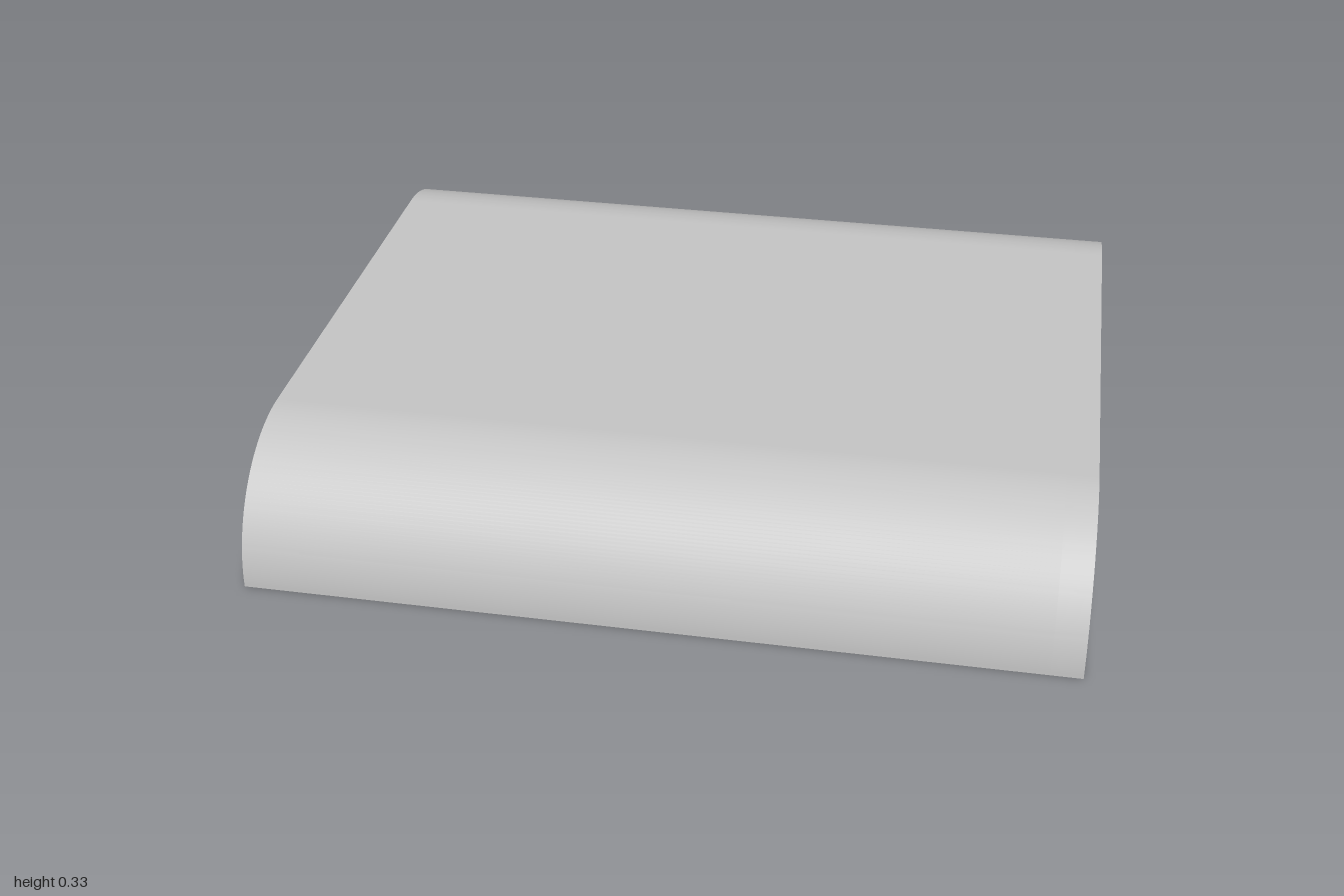
import * as THREE from 'three';
import { toCreasedNormals } from 'three/addons/utils/BufferGeometryUtils.js';

const R = 0.33;            // outer corner radius and overall height
const T = 0.075;           // wall thickness
const RI = R - T;          // inner corner radius
const C = 0.55;            // distance of the arc centres from the middle
const NOTCH_Y = 0.085;     // height of the rear notch
const UP = Math.PI / 2;

export function createModel() {
  const group = new THREE.Group();
  const grey = new THREE.MeshStandardMaterial({ color: 0xc6c6c6 });
  grey.name = 'light grey';

  // Extrudes a profile (drawn with the rear on the right) from x0 to x1
  function addPart(name, shape, x0, x1) {
    const geo = new THREE.ExtrudeGeometry(shape, {
      depth: x1 - x0, bevelEnabled: false, curveSegments: 28,
    });
    geo.rotateY(UP);
    geo.translate(x0, 0, 0);
    const mesh = new THREE.Mesh(toCreasedNormals(geo, 0.5), grey);
    mesh.name = name;
    group.add(mesh);
  }

  const outerCut = Math.asin(NOTCH_Y / R);
  const innerCut = Math.asin(NOTCH_Y / RI);

  // Curved cover, its rear wall ending at the top of the notch
  const cover = new THREE.Shape();
  cover.moveTo(-C - R, 0);
  cover.absarc(-C, 0, R, Math.PI, UP, true);
  cover.absarc(C, 0, R, UP, outerCut, true);
  cover.absarc(C, 0, RI, innerCut, UP, false);
  cover.absarc(-C, 0, RI, UP, Math.PI, false);
  cover.closePath();
  addPart('cover', cover, -1, 1 - T);

  // Rear wall below the cover, on both sides of the wide notch
  const foot = new THREE.Shape();
  foot.absarc(C, 0, R, outerCut, 0, true);
  foot.absarc(C, 0, RI, 0, innerCut, false);
  foot.closePath();
  addPart('rearFootRight', foot, -1, -0.77);
  addPart('rearFootLeft', foot, 0.67, 1 - T);

  // Closed end wall with a small round-topped cable opening
  const wall = new THREE.Shape();
  wall.moveTo(-C - R, 0);
  wall.absarc(-C, 0, R, Math.PI, UP, true);
  wall.absarc(C, 0, R, UP, 0, true);
  wall.lineTo(-0.395, 0);
  wall.absarc(-0.432, 0.011, 0.037, 0, Math.PI, false);
  wall.lineTo(-0.469, 0);
  wall.closePath();
  addPart('endWall', wall, 1 - T, 1);

  return group;
}
